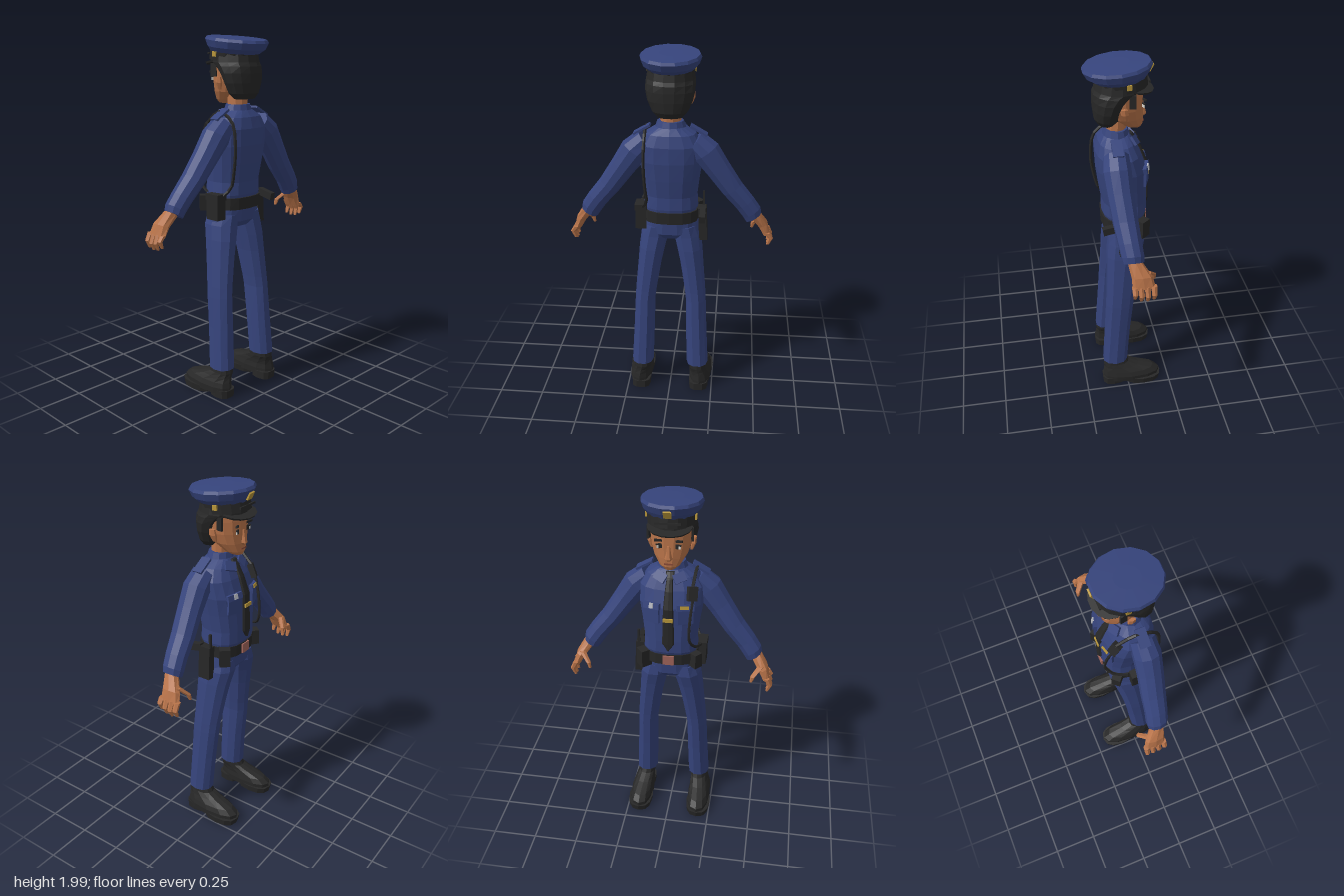
import * as THREE from 'three';

const mat = (name, color) => {
  const m = new THREE.MeshStandardMaterial({ color });
  m.name = name;
  return m;
};

export function createModel() {
  const root = new THREE.Group();
  root.name = 'officer';
  const navy = mat('navy cloth', 0x36447c), black = mat('black leather', 0x272727);
  const skin = mat('skin', 0xb9744a), gold = mat('gold', 0xb8963a);
  const copper = mat('buckle', 0xa0645a), silver = mat('silver', 0xb4b6be);
  const lip = mat('lips', 0x8a4c38), white = mat('eye white', 0xd8d4cc);

  const add = (name, geo, m, parent = root) => {
    const flat = geo.index ? geo.toNonIndexed() : geo;
    flat.computeVertexNormals();
    const mesh = new THREE.Mesh(flat, m);
    mesh.name = name;
    parent.add(mesh);
    return mesh;
  };

  // Closed skin over rings listed upward: [x, y, z, radiusX, radiusZ, tilt about z]
  const pw = (v, p) => Math.sign(v) * Math.pow(Math.abs(v), p);
  const loft = (name, rings, m, sides = 10, p = 1, parent = root) => {
    const pos = [], idx = [], last = rings.length - 1;
    for (const [x, y, z, ru, rv, a = 0] of rings) {
      for (let j = 0; j < sides; j++) {
        const t = (j / sides) * Math.PI * 2;
        const u = pw(Math.cos(t), p) * ru, v = pw(Math.sin(t), p) * rv;
        pos.push(x + u * Math.cos(a), y + u * Math.sin(a), z + v);
      }
    }
    const low = pos.length / 3;
    pos.push(...rings[0].slice(0, 3), ...rings[last].slice(0, 3));
    for (let j = 0; j < sides; j++) {
      const k = (j + 1) % sides, top = last * sides;
      for (let i = 0; i < last; i++) {
        const a = i * sides + j, b = i * sides + k;
        idx.push(a, a + sides, b, b, a + sides, b + sides);
      }
      idx.push(low, j, k, low + 1, top + k, top + j);
    }
    const g = new THREE.BufferGeometry();
    g.setAttribute('position', new THREE.Float32BufferAttribute(pos, 3));
    g.setIndex(idx);
    return add(name, g, m, parent);
  };
  const mirror = (rings, s) => rings.map(([x, y, z, a, b, t = 0]) => [s * x, y, z, a, b, s * t]);
  const box = (name, size, at, m, rot = [0, 0, 0], parent = root) => {
    const b = add(name, new THREE.BoxGeometry(...size), m, parent);
    b.position.set(...at);
    b.rotation.set(...rot);
    return b;
  };
  const tube = (name, pts, r, m) => add(name, new THREE.TubeGeometry(
    new THREE.CatmullRomCurve3(pts.map(q => new THREE.Vector3(...q))), 16, r, 5), m);

  // Shirt
  const shirt = [
    [0, 1.1, 0, 0.14, 0.108], [0, 1.15, -0.004, 0.15, 0.122], [0, 1.22, -0.005, 0.145, 0.122],
    [0, 1.32, 0.005, 0.157, 0.128], [0, 1.42, 0.012, 0.172, 0.134], [0, 1.51, 0.028, 0.172, 0.118],
    [0, 1.57, 0.035, 0.135, 0.095], [0, 1.605, 0.035, 0.075, 0.07]];
  const P = 0.8;
  loft('shirt', shirt, navy, 16, P);
  // Depth of the chest surface at x, y
  const chest = (x, y) => {
    const i = Math.max(1, shirt.findIndex(r => r[1] >= y));
    const a = shirt[i - 1], b = shirt[i], f = (y - a[1]) / (b[1] - a[1]);
    const mix = k => a[k] + (b[k] - a[k]) * f;
    return mix(2) - mix(4) * Math.pow(Math.max(0, 1 - Math.pow(Math.abs(x) / mix(3), 2 / P)), P / 2);
  };
  const plate = (name, w, h, d, x, y, m, lift = 0) => {
    const slope = (chest(x, y + 0.03) - chest(x, y - 0.03)) / 0.06;
    const turn = (chest(x + 0.02, y) - chest(x - 0.02, y)) / 0.04;
    return box(name, [w, h, d], [x, y, chest(x, y) - lift], m, [Math.atan(slope), -Math.atan(turn), 0]);
  };
  loft('collar', [[0, 1.58, 0.035, 0.09, 0.078], [0, 1.635, 0.035, 0.07, 0.062]], navy, 12);
  loft('neck', [[0, 1.58, 0.035, 0.056, 0.052], [0, 1.7, 0.03, 0.056, 0.055]], skin);

  // Tie, clip and chest details
  loft('tie', [1.17, 1.21, 1.32, 1.42, 1.51, 1.565, 1.575, 1.6].map((y, i) =>
    [0, y, chest(0, y) - 0.003, [0.004, 0.032, 0.03, 0.027, 0.022, 0.017, 0.024, 0.022][i], 0.01]), black, 8, 0.7);
  plate('tieClip', 0.052, 0.02, 0.008, 0, 1.36, gold, 0.015);
  for (const s of [-1, 1]) {
    plate('collarWing', 0.065, 0.05, 0.014, s * 0.05, 1.575, navy, 0.006).rotation.z = s * 0.5;
    plate('pocket', 0.085, 0.1, 0.014, s * 0.088, 1.385, navy, 0.002);
    plate('pocketFlap', 0.092, 0.032, 0.02, s * 0.088, 1.43, navy, 0.004);
    box('epaulette', [0.1, 0.012, 0.055], [s * 0.15, 1.588, 0.05], navy, [0, 0, -s * 0.52]);
  }
  plate('nameBar', 0.045, 0.018, 0.008, -0.085, 1.437, gold, 0.017);
  plate('chestBadge', 0.022, 0.028, 0.008, 0.09, 1.435, silver, 0.017);
  plate('radioMicrophone', 0.05, 0.075, 0.03, -0.12, 1.5, black, 0.012);
  tube('frontCord', [[-0.125, 1.47, -0.1], [-0.115, 1.36, -0.13], [-0.115, 1.24, -0.135],
    [-0.14, 1.19, -0.1], [-0.165, 1.16, -0.03]], 0.008, black);
  tube('backCord', [[-0.12, 1.53, -0.08], [-0.13, 1.6, 0.02], [-0.132, 1.55, 0.125], [-0.135, 1.42, 0.152],
    [-0.13, 1.28, 0.135], [-0.125, 1.2, 0.11], [-0.15, 1.15, 0.07]], 0.009, black);

  // Belt and gear
  loft('belt', [[0, 1.07, 0, 0.153, 0.122], [0, 1.135, 0, 0.153, 0.124]], black, 16, P);
  box('buckle', [0.06, 0.055, 0.012], [0, 1.102, -0.124], copper);
  box('holster', [0.045, 0.19, 0.07], [0.178, 1.045, 0.01], black, [0, 0, 0.05]);
  box('holsterGrip', [0.032, 0.04, 0.1], [0.178, 1.12, 0.085], black, [0.2, 0, 0]);
  box('antenna', [0.012, 0.13, 0.012], [0.18, 1.155, -0.02], black);
  box('sidePouch', [0.06, 0.1, 0.06], [0.14, 1.09, -0.085], black, [0, 0.7, 0]);
  box('radioPouch', [0.06, 0.14, 0.085], [-0.162, 1.09, 0.03], black);
  box('radioPouchLid', [0.068, 0.035, 0.093], [-0.162, 1.145, 0.03], black);
  box('smallPouch', [0.06, 0.085, 0.05], [-0.14, 1.095, -0.08], black, [0, -0.7, 0]);

  // Trousers
  loft('hips', [[0, 0.965, 0, 0.1, 0.075], [0, 1.0, 0, 0.163, 0.106], [0, 1.09, 0, 0.146, 0.112]], navy, 14, 0.9);
  const leg = [[0.162, 0.165, 0.072, 0.063, 0.073], [0.152, 0.4, 0.055, 0.06, 0.075],
    [0.146, 0.58, 0.04, 0.058, 0.08], [0.14, 0.64, 0.035, 0.06, 0.081], [0.12, 0.8, 0.02, 0.066, 0.09],
    [0.105, 0.9, 0.01, 0.073, 0.098], [0.09, 0.98, -0.003, 0.078, 0.104], [0.08, 1.04, 0, 0.066, 0.1]];

  // Sleeves, rings from cuff to shoulder
  const sleeve = [[0.455, 1.095, 0.02, 0.05, 0.055, 0.55], [0.443, 1.125, 0.022, 0.056, 0.06, 0.57],
    [0.405, 1.18, 0.03, 0.057, 0.062, 0.62], [0.335, 1.265, 0.04, 0.061, 0.067, 0.6],
    [0.255, 1.38, 0.052, 0.068, 0.07, 0.6], [0.188, 1.475, 0.058, 0.078, 0.075, 0.62],
    [0.13, 1.53, 0.055, 0.066, 0.068, 0.95]];
  const palm = [[0.533, 0.985, -0.022, 0.02, 0.06, 0.3], [0.51, 1.04, -0.015, 0.028, 0.054, 0.4],
    [0.465, 1.105, 0.015, 0.032, 0.037, 0.5]];
  const thumb = [[0.452, 0.982, -0.088, 0.008, 0.009], [0.46, 1.015, -0.084, 0.014, 0.014],
    [0.5, 1.06, -0.045, 0.018, 0.018]];

  for (const s of [-1, 1]) {
    const part = (name, rings, m, n, p) => loft(name, mirror(rings, s), m, n, p);
    part('trouserLeg', leg, navy, 10, 0.9);
    part('sleeve', sleeve, navy, 10);
    part('palm', palm, skin, 8, 0.8);
    part('thumb', thumb, skin, 6);
    for (let i = 0; i < 4; i++) {
      const z = -0.072 + i * 0.033, d = [0.008, 0, 0.004, 0.02][i];
      part('finger', [[0.542, 0.912 + d, z, 0.008, 0.009], [0.556, 0.95 + d, z, 0.014, 0.015],
        [0.535, 1.0, z, 0.017, 0.017]], skin, 6);
    }
    // Shoe
    part('shoeSole', [[0.18, 0, -0.09, 0.068, 0.105], [0.18, 0.038, -0.09, 0.073, 0.113]], black, 12, 0.8);
    part('shoeHeel', [[0.172, 0, 0.085, 0.056, 0.064], [0.172, 0.045, 0.085, 0.058, 0.066]], black, 10, 0.7);
    part('shoeUpper', [[0.178, 0.025, -0.024, 0.066, 0.172], [0.178, 0.06, -0.024, 0.067, 0.172],
      [0.176, 0.088, -0.008, 0.06, 0.152], [0.17, 0.115, 0.035, 0.053, 0.105],
      [0.163, 0.14, 0.066, 0.05, 0.076], [0.16, 0.175, 0.074, 0.048, 0.064]], black, 12, 0.85);
  }

  // Head
  loft('face', [[0, 1.635, -0.062, 0.03, 0.035], [0, 1.655, -0.05, 0.056, 0.056], [0, 1.7, -0.02, 0.086, 0.087],
    [0, 1.755, -0.004, 0.104, 0.102], [0, 1.82, 0, 0.11, 0.105], [0, 1.89, 0, 0.108, 0.1]], skin, 14, 0.95);
  loft('hair', [[0, 1.665, 0.085, 0.066, 0.045], [0, 1.695, 0.08, 0.094, 0.068], [0, 1.75, 0.075, 0.118, 0.08],
    [0, 1.8, 0.062, 0.129, 0.095], [0, 1.835, 0.04, 0.13, 0.115], [0, 1.855, 0.018, 0.128, 0.128],
    [0, 1.9, 0.015, 0.12, 0.122]], black, 14);
  loft('nose', [[0, 1.69, -0.1, 0.014, 0.012], [0, 1.702, -0.105, 0.02, 0.021],
    [0, 1.73, -0.103, 0.013, 0.016], [0, 1.77, -0.1, 0.009, 0.01]], skin, 6);
  box('mouth', [0.045, 0.009, 0.008], [0, 1.671, -0.103], lip);
  for (const s of [-1, 1]) {
    box('eyeWhite', [0.036, 0.017, 0.006], [s * 0.044, 1.765, -0.097], white, [0, s * 0.35, 0]);
    box('iris', [0.017, 0.018, 0.006], [s * 0.042, 1.765, -0.1], black, [0, s * 0.35, 0]);
    box('eyelid', [0.042, 0.006, 0.008], [s * 0.044, 1.776, -0.098], black, [0, s * 0.35, 0]);
    box('eyebrow', [0.052, 0.011, 0.008], [s * 0.046, 1.797, -0.1], black, [0, s * 0.35, s * 0.15]);
    loft('ear', mirror([[0.103, 1.715, 0.0, 0.008, 0.012], [0.113, 1.75, 0.005, 0.013, 0.022],
      [0.116, 1.78, 0.008, 0.01, 0.018]], s), skin, 6);
    box('sideburn', [0.012, 0.07, 0.035], [s * 0.11, 1.815, -0.035], black, [0, -s * 0.2, 0]);
  }

  // Cap, tipped up at the front
  const cap = new THREE.Group();
  cap.name = 'cap';
  cap.position.set(0, 1.9, 0.02);
  cap.rotation.x = 0.09;
  root.add(cap);
  loft('capBand', [[0, -0.04, -0.02, 0.123, 0.128], [0, 0.015, -0.012, 0.126, 0.133]], black, 16, 1, cap);
  loft('capCrown', [[0, 0.005, -0.008, 0.125, 0.136], [0, 0.03, 0, 0.148, 0.162], [0, 0.065, 0, 0.16, 0.179],
    [0, 0.08, 0, 0.152, 0.17], [0, 0.084, 0, 0.06, 0.066]], navy, 14, 1, cap);
  loft('visor', [[0, -0.01, 0, 0.112, 0.09], [0, 0, 0, 0.115, 0.095]], black, 14, 1, cap);
  const visor = cap.children[cap.children.length - 1];
  visor.position.set(0, -0.045, -0.082);
  visor.rotation.x = -0.28;
  box('capBadge', [0.04, 0.042, 0.009], [0, 0.035, -0.167], gold, [-0.55, 0, 0], cap);
  box('capCord', [0.13, 0.01, 0.009], [0, -0.015, -0.146], black, [0, 0, 0], cap);
  for (const s of [-1, 1])
    box('capButton', [0.01, 0.026, 0.026], [s * 0.124, -0.006, -0.035], gold, [0, 0, 0], cap);

  return root;
}
